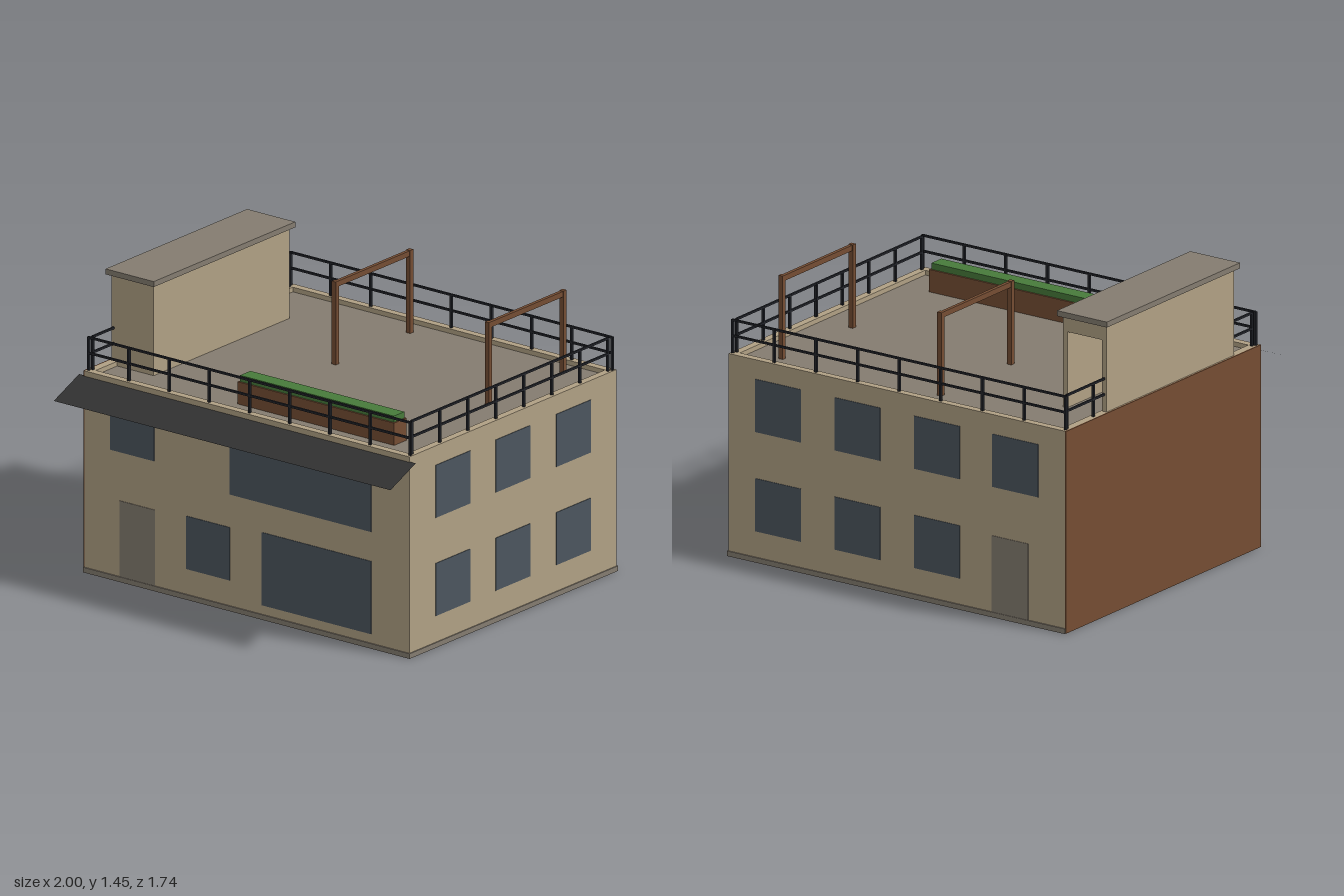
import * as THREE from 'three';

const mat = (name, color) => {
  const m = new THREE.MeshStandardMaterial({ color });
  m.name = name;
  return m;
};

export function createModel() {
  const stucco = mat('stucco', 0xb0a084);
  const concrete = mat('concrete', 0x847c70);
  const glass = mat('glass', 0x4b555e);
  const wood = mat('wood', 0x744d33);
  const metal = mat('dark metal', 0x22242a);
  const leaves = mat('hedge green', 0x477a3a);
  const canvas = mat('awning charcoal', 0x333333);
  canvas.side = THREE.DoubleSide;

  const model = new THREE.Group();
  model.name = 'building';
  const group = (name) => {
    const g = new THREE.Group();
    g.name = name;
    model.add(g);
    return g;
  };
  // Box given by its minimum and maximum corners
  const box = (parent, name, material, x0, x1, y0, y1, z0, z1) => {
    const mesh = new THREE.Mesh(new THREE.BoxGeometry(x1 - x0, y1 - y0, z1 - z0), material);
    mesh.position.set((x0 + x1) / 2, (y0 + y1) / 2, (z0 + z1) / 2);
    mesh.name = name;
    parent.add(mesh);
    return mesh;
  };

  const L = -0.965, R = 0.965, B = -0.868, F = 0.684, TOP = 0.995, DECK = 0.972;

  // Main block, plinth and party wall
  const shell = group('shell');
  box(shell, 'walls', stucco, L, R, 0.01, DECK - 0.004, B, F);
  box(shell, 'plinth', concrete, L - 0.004, R + 0.006, 0, 0.025, B - 0.006, F + 0.006);
  box(shell, 'partyWall', wood, L - 0.007, L, 0.001, TOP, B, F);

  // Roof deck inside a low parapet
  const T = 0.038;
  box(shell, 'roofDeck', concrete, L + T, R - T, DECK - 0.006, DECK, B + T, F - T);
  box(shell, 'parapetFront', stucco, L, R, DECK - 0.004, TOP, F - T, F);
  box(shell, 'parapetBack', stucco, L, R, DECK - 0.004, TOP, B, B + T);
  box(shell, 'parapetLeft', stucco, R - T, R, DECK - 0.004, TOP, B + T, F - T);
  box(shell, 'parapetRight', stucco, L, L + T, DECK - 0.004, TOP, B + T, F - T);

  // Windows and doors as thin plates
  const openings = group('openings');
  const P = 0.003;
  const frontPlate = (name, m, x0, x1, y0, y1) => box(openings, name, m, x0, x1, y0, y1, F - P, F + P);
  const backPlate = (name, m, x0, x1, y0, y1) => box(openings, name, m, x0, x1, y0, y1, B - P, B + P);
  frontPlate('frontWindow', glass, -0.81, -0.55, 0.64, 0.9);
  frontPlate('frontWindowWide', glass, -0.1, 0.74, 0.575, 0.9);
  frontPlate('frontWindow', glass, -0.36, -0.1, 0.15, 0.412);
  frontPlate('frontWindowWide', glass, 0.09, 0.74, 0.07, 0.43);
  frontPlate('frontDoor', concrete, -0.755, -0.545, 0.02, 0.4);
  [0.81, 0.355, -0.1, -0.55].forEach((x, i) => {
    backPlate('backWindowUpper', glass, x - 0.262, x, 0.64, 0.9);
    if (i < 3) backPlate('backWindowLower', glass, x - 0.262, x, 0.152, 0.412);
  });
  backPlate('backDoor', concrete, -0.755, -0.545, 0.02, 0.4);
  for (const z of [0.36, -0.09, -0.545]) {
    for (const y of [0.155, 0.64]) {
      box(openings, 'sideWindow', glass, R - P, R + P, y, y + 0.26, z - 0.13, z + 0.13);
    }
  }

  // Sloping awning sheet along the front
  const awningGeo = new THREE.BufferGeometry();
  awningGeo.setAttribute('position', new THREE.Float32BufferAttribute(
    [-1, 0.89, 0.87, 1, 0.89, 0.87, 1, 0.97, 0.68, -1, 0.97, 0.68], 3));
  awningGeo.setIndex([0, 1, 2, 0, 2, 3]);
  awningGeo.computeVertexNormals();
  const awning = new THREE.Mesh(awningGeo, canvas);
  awning.name = 'awning';
  model.add(awning);

  // Hollow stair house with a doorway at the back
  const stair = group('stairHouse');
  const sx0 = -0.96, sx1 = -0.71, sz0 = -0.53, sz1 = 0.487, w = 0.025, sTop = 1.42;
  box(stair, 'outerWall', stucco, sx0, sx0 + w, DECK, sTop, sz0, sz1);
  box(stair, 'innerWall', stucco, sx1 - w, sx1, DECK, sTop, sz0, sz1);
  box(stair, 'frontWall', stucco, sx0 + w, sx1 - w, DECK, sTop, sz1 - w, sz1);
  box(stair, 'doorLintel', stucco, sx0 + w, sx1 - w, 1.345, sTop, sz0, sz0 + w);
  box(stair, 'stairRoof', concrete, sx0 - 0.018, sx1 + 0.018, sTop, 1.447, sz0 - 0.022, sz1 + 0.022);

  // Railings: posts plus two rails per side
  const railing = (name, length, segments, x, z, turn) => {
    const g = group(name);
    const h = length / 2, t = 0.006;
    for (let i = 0; i <= segments; i++) {
      const p = -h + (length * i) / segments;
      box(g, 'post', metal, p - t, p + t, DECK, 1.16, -t, t);
    }
    for (const y of [1.08, 1.157]) box(g, 'rail', metal, -h, h, y - 0.005, y + 0.005, -0.005, 0.005);
    g.position.set(x, 0, z);
    g.rotation.y = turn;
  };
  railing('railingFront', 1.91, 8, 0, 0.664, 0);
  railing('railingBack', 1.91, 8, 0, -0.848, 0);
  railing('railingLeft', 1.472, 7, 0.947, -0.091, Math.PI / 2);
  railing('railingRight', 1.472, 7, -0.947, -0.091, Math.PI / 2);

  // Two timber frames on the roof
  for (const x of [-0.15, 0.76]) {
    const frame = group('timberFrame');
    for (const z of [-0.168, -0.726]) {
      box(frame, 'framePost', wood, x - 0.012, x + 0.012, DECK, 1.382, z - 0.012, z + 0.012);
    }
    box(frame, 'frameBeam', wood, x - 0.009, x + 0.009, 1.353, 1.38, -0.72, -0.174);
  }

  // Planter with a clipped hedge
  const planter = group('planter');
  box(planter, 'planterBox', wood, -0.16, 0.77, DECK, 1.082, 0.458, 0.552);
  box(planter, 'hedge', leaves, -0.152, 0.762, 1.075, 1.113, 0.466, 0.544);

  return model;
}
